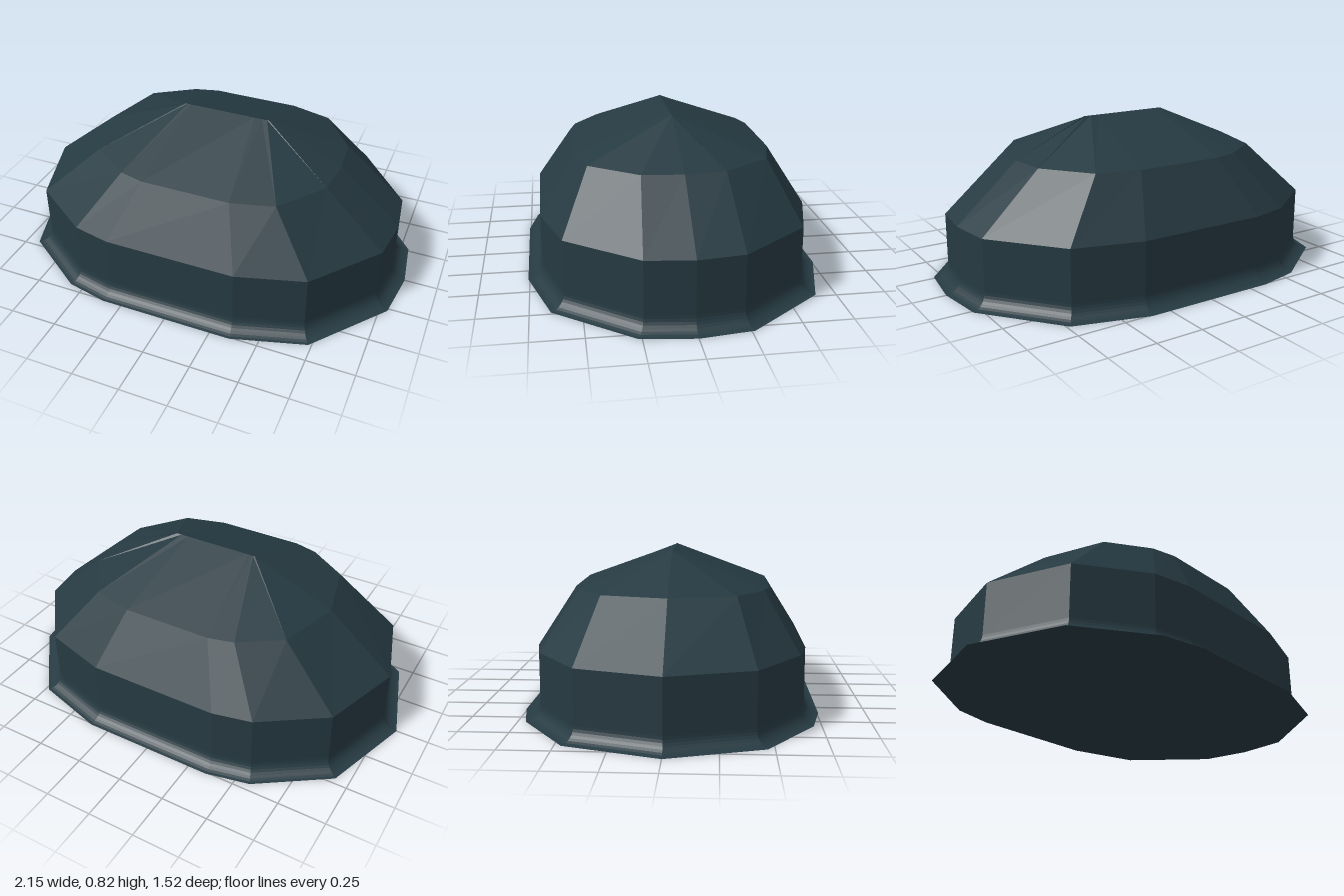
import * as THREE from 'three';

// Half outlines from the -x tip to the +x tip as [x, z]; mirrored across z = 0.
const girdleHalf = [[-1, 0], [-0.865, 0.42], [-0.545, 0.64], [-0.345, 0.683], [0.345, 0.683], [0.69, 0.583], [0.97, 0.235], [1, 0]];
const shoulderHalf = [[-0.65, 0], [-0.56, 0.33], [-0.35, 0.47], [-0.22, 0.503], [0.25, 0.503], [0.47, 0.445], [0.65, 0.205], [0.67, 0]];
const ridgeHalf = [-0.21, -0.2, -0.19, -0.17, 0.19, 0.23, 0.26, 0.27].map((x) => [x, 0]);

const mirror = (half) => [...half, ...half.slice(1, -1).reverse().map(([x, z]) => [x, -z])];
const ring = (outline, y) => outline.map(([x, z]) => new THREE.Vector3(x, y, z));

// Moves every side of an outline inward by d.
function inset(outline, d) {
  const n = outline.length;
  const normal = (a, b) => new THREE.Vector2(b[1] - a[1], a[0] - b[0]).normalize();
  return outline.map((p, i) => {
    const n1 = normal(outline[(i + n - 1) % n], p);
    const n2 = normal(p, outline[(i + 1) % n]);
    const k = d / (1 + n1.dot(n2));
    return [p[0] - (n1.x + n2.x) * k, p[1] - (n1.y + n2.y) * k];
  });
}

// Joins the rings from bottom to top, leaving out collapsed triangles.
function loft(rings, closeBottom) {
  const positions = [];
  const tri = (a, b, c) => {
    const area = b.clone().sub(a).cross(c.clone().sub(a)).length();
    if (area > 1e-7) positions.push(...a, ...b, ...c);
  };
  for (let r = 0; r < rings.length - 1; r++) {
    const lo = rings[r], hi = rings[r + 1], n = lo.length;
    for (let i = 0; i < n; i++) {
      const j = (i + 1) % n;
      tri(lo[i], lo[j], hi[j]);
      tri(lo[i], hi[j], hi[i]);
    }
  }
  if (closeBottom) {
    const base = rings[0];
    for (let i = 1; i < base.length - 1; i++) tri(base[0], base[i + 1], base[i]);
  }
  const geometry = new THREE.BufferGeometry();
  geometry.setAttribute('position', new THREE.Float32BufferAttribute(positions, 3));
  geometry.computeVertexNormals();
  return geometry;
}

export function createModel() {
  const group = new THREE.Group();
  group.name = 'facetedStone';
  const stone = new THREE.MeshStandardMaterial({ color: 0x263a42 });
  stone.name = 'dark slate';

  const girdle = mirror(girdleHalf);
  const girdleRing = ring(girdle, 0.345);

  // Upright sides with a rounded lower edge and a flat underside
  const radius = 0.075, steps = 8;
  const lower = [];
  for (let i = 0; i <= steps; i++) {
    const a = (i / steps) * Math.PI / 2;
    lower.push(ring(inset(girdle, radius * (1 - Math.sin(a))), radius * (1 - Math.cos(a))));
  }
  const base = new THREE.Mesh(loft([...lower, girdleRing], true), stone);
  base.name = 'base';

  // Sloping facets rising to a short ridge
  const crown = new THREE.Mesh(
    loft([girdleRing, ring(mirror(shoulderHalf), 0.635), ring(mirror(ridgeHalf), 0.82)], false), stone);
  crown.name = 'crown';

  group.add(base, crown);
  return group;
}
